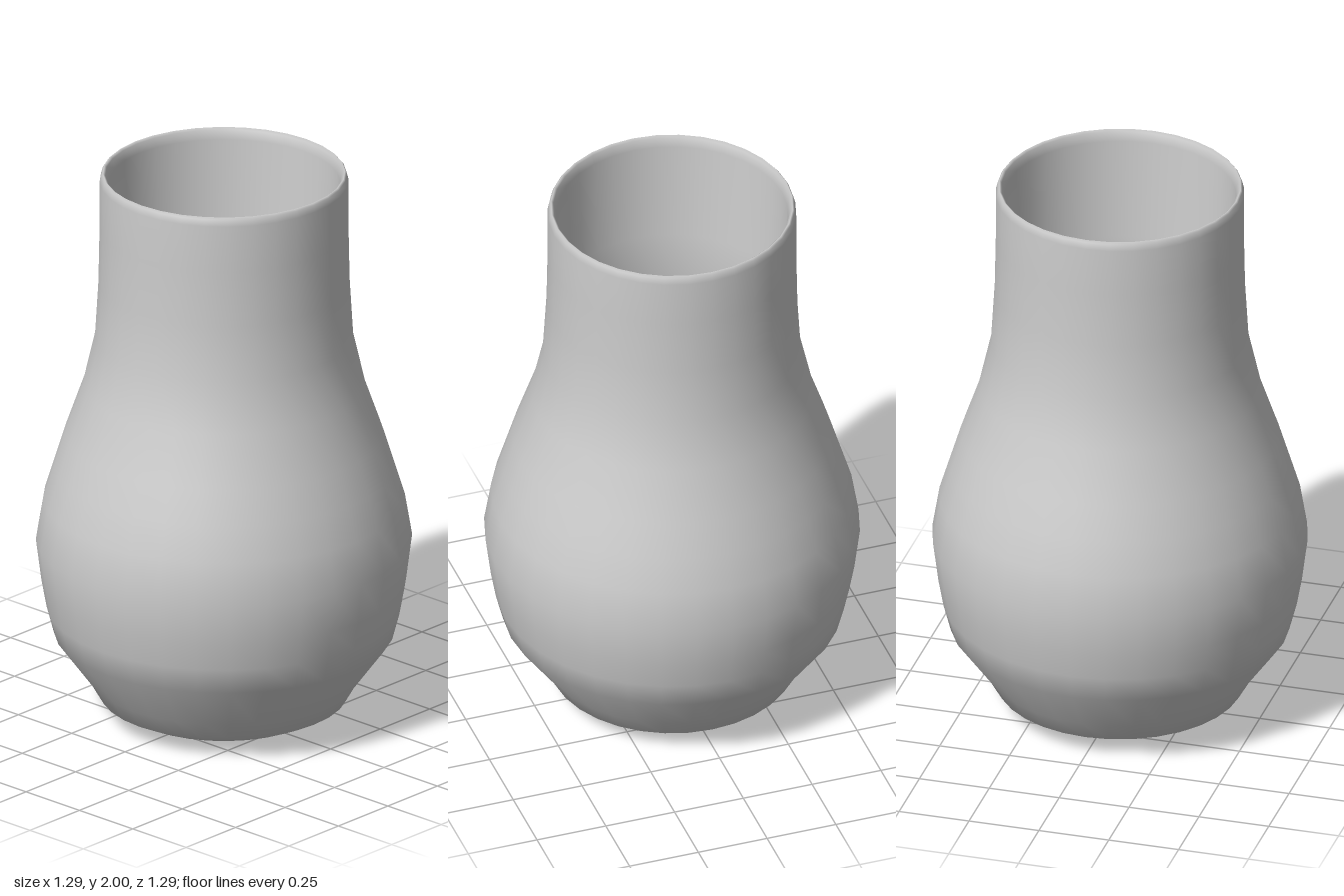
import * as THREE from 'three';

const SEGMENTS = 32;

// Outer wall, base centre up to the lip: [radius, height]
const outer = [
  [0, 0], [0.35, 0.033], [0.425, 0.07], [0.465, 0.14], [0.585, 0.305],
  [0.61, 0.4], [0.628, 0.5], [0.647, 0.65], [0.622, 0.8], [0.585, 0.92],
  [0.548, 1.04], [0.485, 1.22], [0.444, 1.4], [0.432, 1.6], [0.428, 1.8],
  [0.428, 1.97], [0.422, 1.993],
];

// Lip and inner wall, down to the centre of the inner floor
const inner = [
  [0.416, 2], [0.408, 1.993], [0.4, 1.96], [0.385, 1.6], [0.364, 1.4],
  [0.42, 1.22], [0.53, 0.92], [0.59, 0.65], [0.55, 0.4], [0.52, 0.31],
  [0.41, 0.16], [0.32, 0.09], [0, 0.055],
];

export function createModel() {
  const group = new THREE.Group();
  group.name = 'vase';

  // One closed shell: outside, rounded lip and hollow inside
  const profile = [...outer, ...inner].map(([r, y]) => new THREE.Vector2(r, y));
  const body = new THREE.Mesh(
    new THREE.LatheGeometry(profile, SEGMENTS),
    new THREE.MeshStandardMaterial({ color: 0xcccccc }),
  );
  body.name = 'vaseBody';
  group.add(body);
  return group;
}
